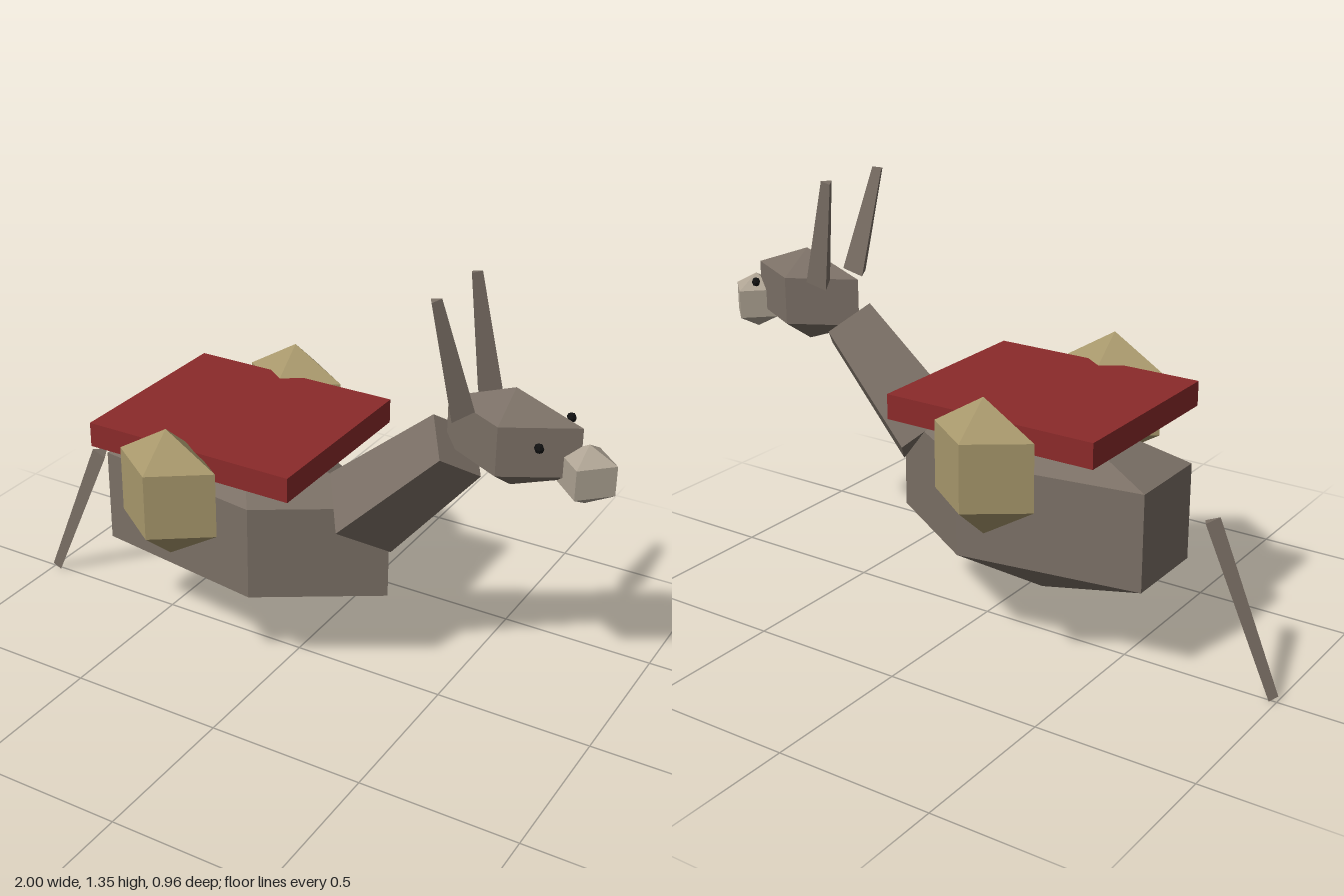
import * as THREE from 'three';

const paint = (name, color) => {
  const m = new THREE.MeshStandardMaterial({ color });
  m.name = name;
  return m;
};

export function createModel() {
  const group = new THREE.Group();
  const hide = paint('grey brown hide', 0x7a6f65);
  const pale = paint('pale muzzle', 0xb0a595);
  const red = paint('red blanket', 0x8b2a2a);
  const tan = paint('tan sack', 0xa8986c);
  const black = paint('black eye', 0x111111);

  // Adds a mesh with faceted normals
  const add = (name, geometry, material) => {
    const flat = geometry.index ? geometry.toNonIndexed() : geometry;
    flat.computeVertexNormals();
    const mesh = new THREE.Mesh(flat, material);
    mesh.name = name;
    group.add(mesh);
    return mesh;
  };

  // Stretched low-poly ball
  const blob = (name, material, centre, radii, sides, rings = 3) => {
    const g = new THREE.SphereGeometry(1, sides, rings);
    g.rotateY(Math.PI).scale(...radii).translate(...centre);
    return add(name, g, material);
  };

  // Tapered prism between two points
  const limb = (name, from, to, r0, r1, sides, start = 0) => {
    const a = new THREE.Vector3(...from);
    const b = new THREE.Vector3(...to);
    const dir = b.clone().sub(a);
    const g = new THREE.CylinderGeometry(r1, r0, dir.length(), sides, 1, false, start);
    g.applyQuaternion(new THREE.Quaternion().setFromUnitVectors(
      new THREE.Vector3(0, 1, 0), dir.normalize()));
    const mid = a.add(b).multiplyScalar(0.5);
    g.translate(mid.x, mid.y, mid.z);
    return add(name, g, hide);
  };

  // Animal, facing +x
  blob('body', hide, [-0.205, 0.458, 0], [0.6, 0.305, 0.277], 5);
  limb('neck', [0.215, 0.568, 0], [0.523, 0.875, 0], 0.15, 0.111, 4);
  blob('head', hide, [0.692, 0.947, 0], [0.234, 0.15, 0.13], 4);
  blob('muzzle', pale, [0.915, 0.89, 0], [0.098, 0.09, 0.096], 4);
  limb('tail', [-0.984, 0.013, 0], [-0.763, 0.515, 0], 0.02, 0.03, 3, Math.PI);

  // Blanket
  const blanket = new THREE.BoxGeometry(0.698, 0.078, 0.614);
  blanket.translate(-0.204, 0.764, 0);
  add('blanket', blanket, red);

  // Paired parts
  for (const [side, s] of [['left', -1], ['right', 1]]) {
    limb(side + 'Ear', [0.565, 1.017, 0.09 * s], [0.495, 1.353, 0.125 * s], 0.045, 0.02, 3);
    blob(side + 'Eye', black, [0.815, 0.99, 0.112 * s], [0.015, 0.015, 0.013], 6, 4);
    blob(side + 'Sack', tan, [-0.232, 0.681, 0.361 * s], [0.194, 0.206, 0.139], 4);
  }
  return group;
}
